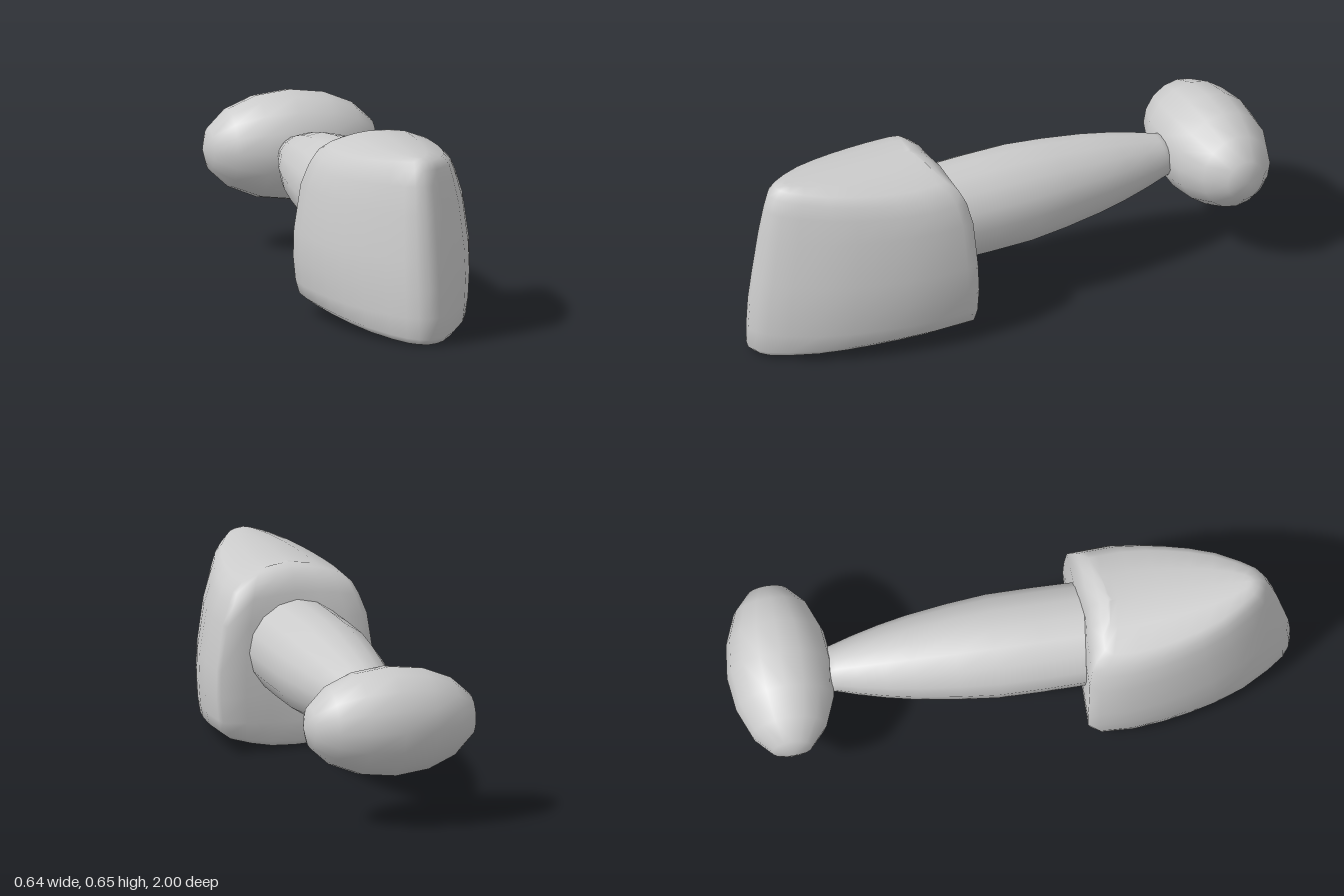
import * as THREE from 'three';
import { mergeVertices } from 'three/addons/utils/BufferGeometryUtils.js';

const material = new THREE.MeshStandardMaterial({ color: 0xcccccc });

function addPart(group, name, geometry) {
  const mesh = new THREE.Mesh(geometry, material);
  mesh.name = name;
  group.add(mesh);
  return mesh;
}

// Wedge-shaped head: plan outlines stacked upward, domed above and below
function headGeometry() {
  // Plan outline as [position from back to front, share of half width]
  const side = [[0, 0.35], [0, 0.65], [0, 0.88], [0.05, 0.98], [0.2, 1], [0.35, 0.95], [0.47, 0.88],
    [0.6, 0.78], [0.74, 0.63], [0.87, 0.42], [0.95, 0.26], [0.985, 0.13]];
  const outline = [[0.012, 0],
    ...side.map(([u, f], i) => (i === 2 ? [-0.01, 0.97] : [u, f])),
    [1, 0],
    ...side.map(([u, f]) => [u, -f]).reverse()];
  // Layers: height, half width, back z, front z, dome amount
  const layers = [
    [0, 0, 0.33, 0.93, 0.75],
    [0, 0.16, 0.31, 0.945, 0.75],
    [0.004, 0.25, 0.275, 0.975, 0.75],
    [0.025, 0.278, 0.25, 0.997, 0.6],
    [0.1, 0.29, 0.242, 0.997, 0.2],
    [0.2, 0.298, 0.24, 0.99, 0],
    [0.3, 0.296, 0.243, 0.975, 0],
    [0.46, 0.272, 0.25, 0.95, 0],
    [0.56, 0.245, 0.262, 0.93, -0.5],
    [0.615, 0.225, 0.28, 0.915, -0.9],
    [0.642, 0.19, 0.315, 0.89, -1.1],
    [0.65, 0.1, 0.345, 0.865, -1.1],
    [0.65, 0, 0.36, 0.85, -1.1],
  ];
  const positions = [], indices = [], n = outline.length;
  for (const [y, w, back, front, dome] of layers) {
    for (const [u, f] of outline) {
      const x = w * f;
      positions.push(x - 0.012, y + dome * x * x, back + (front - back) * u);
    }
  }
  for (let i = 0; i < layers.length - 1; i++) {
    for (let j = 0; j < n; j++) {
      const a = i * n + j, b = i * n + (j + 1) % n;
      indices.push(a, a + n, b, b, a + n, b + n);
    }
  }
  let geometry = new THREE.BufferGeometry();
  geometry.setAttribute('position', new THREE.Float32BufferAttribute(positions, 3));
  geometry.setIndex(indices);
  geometry = mergeVertices(geometry, 1e-4);
  geometry.computeVertexNormals();
  return geometry;
}

// Tapering grip along z, given as [z, radius]
function handleGeometry() {
  const profile = [[-0.68, 0], [-0.68, 0.065], [-0.62, 0.08], [-0.55, 0.1], [-0.45, 0.124], [-0.35, 0.143],
    [-0.2, 0.163], [-0.06, 0.176], [0.1, 0.177], [0.3, 0.174]];
  const geometry = new THREE.LatheGeometry(profile.map(([z, r]) => new THREE.Vector2(r, z)), 16);
  return geometry.rotateX(Math.PI / 2);
}

export function createModel() {
  const group = new THREE.Group();
  group.name = 'hammer';

  addPart(group, 'head', headGeometry());

  const handle = addPart(group, 'handle', handleGeometry());
  handle.scale.x = 1.05;
  handle.position.set(-0.015, 0.36, 0);

  // Oval knob, long across x
  const knob = addPart(group, 'pommel', new THREE.SphereGeometry(1, 16, 8).rotateZ(Math.PI / 2));
  knob.scale.set(0.32, 0.197, 0.188);
  knob.position.set(0, 0.367, -0.812);

  return group;
}
